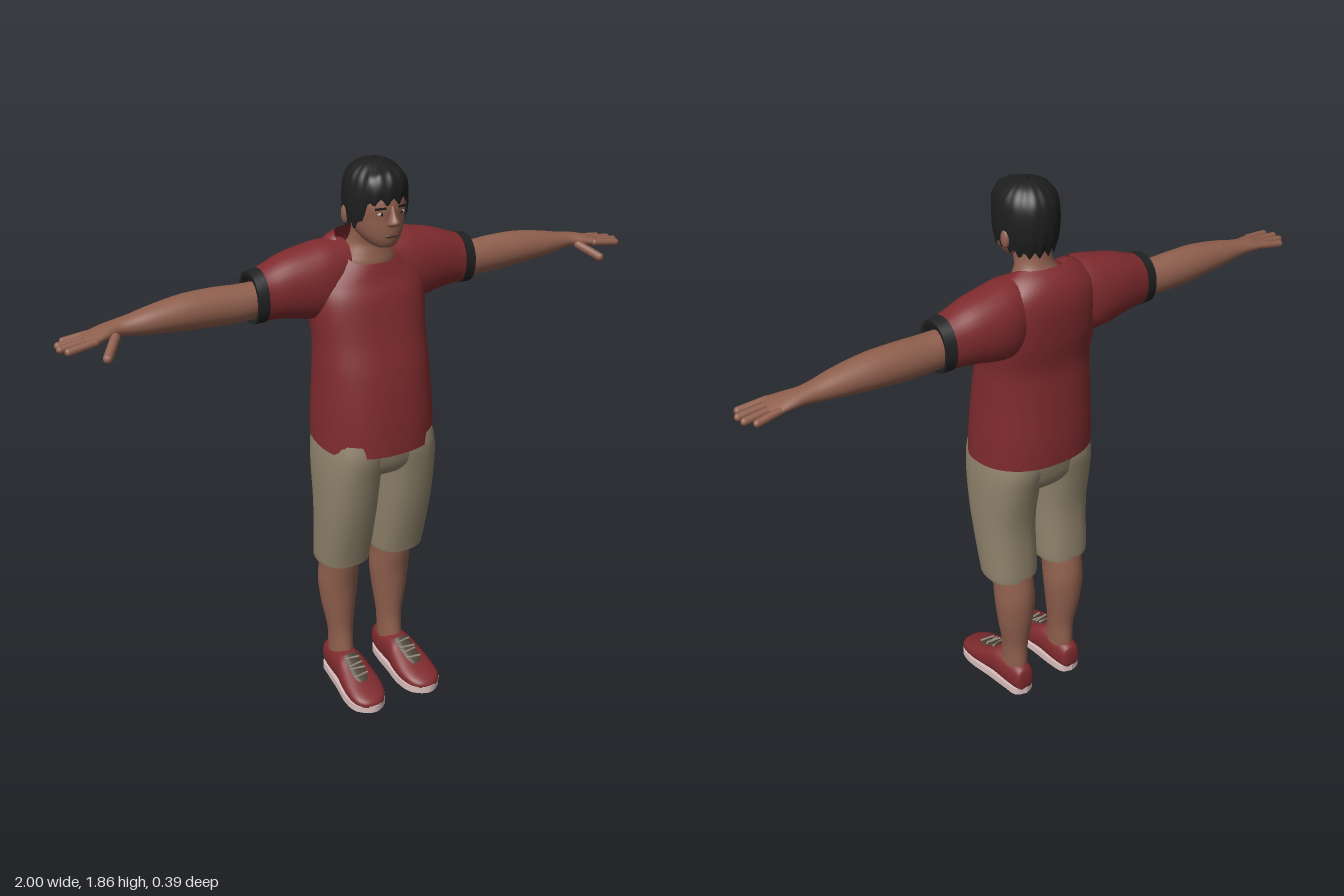
import * as THREE from 'three';
import { toCreasedNormals } from 'three/addons/utils/BufferGeometryUtils.js';

const paint = (name, color, side = THREE.FrontSide) => {
  const m = new THREE.MeshStandardMaterial({ color, side });
  m.name = name;
  return m;
};

// Sharp edges stay sharp; work at a larger scale so small features keep their own normals
function crease(geo, angle = 0.9) {
  geo.scale(100, 100, 100);
  const g = toCreasedNormals(geo, angle);
  g.scale(0.01, 0.01, 0.01);
  return g;
}

// Loft of rounded sections. Row: [position on axis, uMin, uMax, vMin, vMax]
// with (u, v) = (x, z) on axis y, (z, y) on axis x, (y, x) on axis z.
function loft(axis, rows, { steps = 4, segs = 28, n = 2, caps = true, bend } = {}) {
  const place = {
    x: (s, u, v) => [s, v, u], y: (s, u, v) => [u, s, v], z: (s, u, v) => [v, u, s],
  }[axis];
  const cr = (a, b, c, d, t) => b + 0.5 * t * (c - a + t * (2 * a - 5 * b + 4 * c - d + t * (3 * (b - c) + d - a)));
  const sections = [];
  for (let i = 0; i < rows.length - 1; i++) {
    const [a, b, c, d] = [rows[Math.max(i - 1, 0)], rows[i], rows[i + 1], rows[Math.min(i + 2, rows.length - 1)]];
    for (let k = 0; k < steps; k++) sections.push(b.map((_, j) => cr(a[j], b[j], c[j], d[j], k / steps)));
  }
  sections.push(rows[rows.length - 1]);
  const round = (t) => Math.sign(t) * Math.abs(t) ** (2 / n);
  const pos = [], index = [];
  const put = (s, u, v) => {
    const p = place(s, u, v);
    pos.push(...(bend ? bend(...p) : p));
  };
  for (const [s, u0, u1, v0, v1] of sections) {
    for (let j = 0; j < segs; j++) {
      const t = (j / segs) * Math.PI * 2;
      put(s, (u0 + u1) / 2 + round(Math.cos(t)) * (u1 - u0) / 2, (v0 + v1) / 2 + round(Math.sin(t)) * (v1 - v0) / 2);
    }
  }
  const last = (sections.length - 1) * segs;
  for (let i = 0; i < last; i += segs) {
    for (let j = 0; j < segs; j++) {
      const k = (j + 1) % segs;
      index.push(i + j, i + segs + j, i + k, i + k, i + segs + j, i + segs + k);
    }
  }
  if (caps) {
    const base = pos.length / 3;
    for (const [s, u0, u1, v0, v1] of [sections[0], sections[sections.length - 1]]) put(s, (u0 + u1) / 2, (v0 + v1) / 2);
    for (let j = 0; j < segs; j++) {
      const k = (j + 1) % segs;
      index.push(base, j, k, base + 1, last + k, last + j);
    }
  }
  const g = new THREE.BufferGeometry();
  g.setAttribute('position', new THREE.Float32BufferAttribute(pos, 3));
  g.setIndex(index);
  return crease(g);
}

// Mirror across x = 0, reversing the corner order
function mirror(geo) {
  const g = geo.index ? geo.toNonIndexed() : geo.clone();
  g.scale(-1, 1, 1);
  for (const a of Object.values(g.attributes)) {
    for (let i = 0; i < a.count; i += 3) {
      for (let c = 0; c < a.itemSize; c++) {
        const t = a.getComponent(i + 1, c);
        a.setComponent(i + 1, c, a.getComponent(i + 2, c));
        a.setComponent(i + 2, c, t);
      }
    }
  }
  return g;
}

// Rounded rod between two points
function rod(a, b, r) {
  const A = new THREE.Vector3(...a), B = new THREE.Vector3(...b), d = B.clone().sub(A);
  const g = new THREE.CapsuleGeometry(r, d.length() - r, 5, 12);
  g.applyQuaternion(new THREE.Quaternion().setFromUnitVectors(new THREE.Vector3(0, 1, 0), d.normalize()));
  const mid = A.add(B).multiplyScalar(0.5);
  return g.translate(mid.x, mid.y, mid.z);
}

const blob = (x, y, z, rx, ry, rz) => new THREE.SphereGeometry(1, 20, 14).scale(rx, ry, rz).translate(x, y, z);

export function createModel() {
  const model = new THREE.Group();
  model.name = 'standingMan';
  const skin = paint('skin', 0x8f5f4d);
  const red = paint('red cloth', 0x7f2b2e, THREE.DoubleSide);
  const black = paint('black trim', 0x222222);
  const hairMat = paint('hair', 0x1e1e1e, THREE.DoubleSide);
  const khaki = paint('khaki cloth', 0x8f826b);
  const white = paint('shoe sole', 0xd8bebc);
  const olive = paint('shoe tongue', 0x4c4034);
  const lace = paint('laces', 0x8d8578);
  const lip = paint('lips', 0x643d35);
  const eyeWhite = paint('eye white', 0xb8a79c);

  const add = (name, geo, mat) => {
    const m = new THREE.Mesh(geo, mat);
    m.name = name;
    model.add(m);
  };
  const pair = (name, geo, mat) => {
    add(name + 'Left', geo, mat);
    add(name + 'Right', mirror(geo), mat);
  };
  const ease = THREE.MathUtils.smoothstep;

  // Shirt body: collar scooped at the front, hem lifted at the back
  add('shirtBody', loft('y', [
    [0.94, -0.2, 0.2, -0.19, 0.158], [1.05, -0.197, 0.197, -0.19, 0.152], [1.2, -0.19, 0.19, -0.178, 0.13],
    [1.3, -0.187, 0.187, -0.171, 0.103], [1.4, -0.195, 0.195, -0.186, 0.08], [1.5, -0.19, 0.19, -0.192, 0.058],
    [1.56, -0.172, 0.172, -0.182, 0.045], [1.6, -0.13, 0.13, -0.158, 0.036], [1.622, -0.098, 0.098, -0.13, 0.028],
  ], {
    segs: 48, n: 2.3, caps: false,
    bend: (x, y, z) => [x, y - 0.085 * ease(y, 1.4, 1.62) * ease(z, -0.1, 0.03)
      + 0.028 * (1 - ease(y, 0.94, 1.15)) * ease(-z, -0.15, 0.19), z],
  }), red);

  // Sleeves and dark cuffs
  pair('sleeve', loft('x', [
    [0.07, -0.15, 0, 1.4, 1.602], [0.14, -0.175, 0.012, 1.36, 1.604], [0.2, -0.18, 0.01, 1.363, 1.594],
    [0.27, -0.172, 0, 1.378, 1.578], [0.33, -0.16, -0.01, 1.384, 1.556], [0.36, -0.155, -0.012, 1.384, 1.547],
  ], { n: 2.2 }), red);
  pair('cuff', loft('x', [
    [0.352, -0.157, -0.01, 1.381, 1.55], [0.388, -0.153, -0.012, 1.381, 1.543], [0.388, -0.145, -0.022, 1.392, 1.53],
    [0.372, -0.14, -0.03, 1.4, 1.515],
  ], { steps: 1, n: 2.2 }), black);

  // Arms, fingers and thumbs
  pair('arm', loft('x', [
    [0.34, -0.138, -0.03, 1.4, 1.51], [0.42, -0.14, -0.028, 1.394, 1.51], [0.5, -0.142, -0.03, 1.395, 1.514],
    [0.6, -0.14, -0.03, 1.402, 1.512], [0.7, -0.13, -0.036, 1.412, 1.497], [0.77, -0.12, -0.047, 1.42, 1.482],
    [0.81, -0.117, -0.05, 1.426, 1.475], [0.85, -0.118, -0.036, 1.426, 1.468], [0.9, -0.116, -0.02, 1.425, 1.454],
    [0.915, -0.108, -0.028, 1.431, 1.448],
  ]), skin);
  [[-0.105, -0.112, 0.966], [-0.081, -0.084, 0.99], [-0.056, -0.053, 0.994], [-0.031, -0.022, 0.98]].forEach(([z0, z1, tip], i) =>
    pair('finger' + (i + 1), rod([0.885, 1.441, z0], [tip, 1.43, z1], 0.0115), skin));
  pair('thumb', rod([0.825, 1.442, -0.045], [0.88, 1.402, 0.022], 0.0145), skin);

  // Neck and head
  add('neck', loft('y', [
    [1.45, -0.1, 0.1, -0.13, 0.02], [1.53, -0.098, 0.098, -0.135, 0.026], [1.565, -0.085, 0.085, -0.125, 0.02],
    [1.6, -0.064, 0.064, -0.095, 0.015], [1.64, -0.058, 0.058, -0.083, 0.03], [1.69, -0.06, 0.06, -0.08, 0.03],
  ]), skin);
  add('head', loft('y', [
    [1.602, -0.02, 0.02, 0.04, 0.08], [1.61, -0.038, 0.038, 0.01, 0.096], [1.632, -0.06, 0.06, -0.045, 0.106],
    [1.66, -0.075, 0.075, -0.078, 0.109], [1.7, -0.083, 0.083, -0.093, 0.109], [1.74, -0.087, 0.087, -0.098, 0.109],
    [1.8, -0.076, 0.076, -0.086, 0.085], [1.84, -0.035, 0.035, -0.04, 0.035],
  ], { segs: 36 }), skin);
  add('nose', loft('y', [
    [1.673, -0.011, 0.011, 0.09, 0.112], [1.682, -0.018, 0.018, 0.09, 0.132], [1.692, -0.016, 0.016, 0.09, 0.138],
    [1.71, -0.01, 0.01, 0.09, 0.125], [1.738, -0.007, 0.007, 0.09, 0.111],
  ], { segs: 16 }), skin);
  pair('ear', blob(0.09, 1.695, -0.018, 0.011, 0.029, 0.018), skin);

  // Face details
  pair('eye', blob(0.034, 1.714, 0.099, 0.013, 0.0055, 0.005), eyeWhite);
  pair('iris', blob(0.034, 1.714, 0.102, 0.005, 0.005, 0.003), black);
  pair('eyebrow', new THREE.BoxGeometry(0.034, 0.006, 0.008).rotateY(0.33).rotateZ(-0.1).translate(0.036, 1.731, 0.1), hairMat);
  add('mouth', blob(0, 1.646, 0.106, 0.026, 0.0075, 0.007), lip);

  // Hair: jagged edge, high over the brow and low at the nape
  add('hair', loft('y', [
    [1.64, -0.09, 0.09, -0.09, 0.114], [1.69, -0.096, 0.096, -0.104, 0.117], [1.75, -0.096, 0.096, -0.108, 0.112],
    [1.8, -0.088, 0.088, -0.1, 0.096], [1.835, -0.065, 0.065, -0.076, 0.066], [1.853, -0.035, 0.035, -0.044, 0.034],
    [1.858, -0.004, 0.004, -0.01, 0.002],
  ], {
    segs: 72, caps: false,
    bend: (x, y, z) => {
      const jag = 0.011 * Math.cos(18 * Math.atan2(x, z));
      const edge = 1.648 + 0.022 * ease(z, -0.07, 0) + 0.08 * ease(z, 0.04, 0.095) + jag;
      return [x, edge + (y - 1.64) / 0.218 * (1.858 - edge), z];
    },
  }), hairMat);

  // Shorts
  add('shortsSeat', loft('y', [
    [0.85, -0.12, 0.12, -0.13, 0.1], [0.89, -0.18, 0.18, -0.153, 0.128], [0.98, -0.19, 0.19, -0.17, 0.142],
    [1.02, -0.18, 0.18, -0.165, 0.13],
  ], { n: 2.4, segs: 36 }), khaki);
  pair('shortsLeg', loft('y', [
    [0.498, 0.03, 0.178, -0.118, 0.034], [0.502, 0.018, 0.19, -0.13, 0.045], [0.52, 0.013, 0.195, -0.132, 0.05],
    [0.7, 0.009, 0.201, -0.125, 0.097], [0.85, 0.003, 0.201, -0.148, 0.127], [0.93, -0.01, 0.195, -0.163, 0.14],
    [0.98, -0.01, 0.185, -0.16, 0.135],
  ], { n: 2.4 }), khaki);

  // Lower legs
  pair('leg', loft('y', [
    [0.07, 0.06, 0.14, -0.12, 0], [0.13, 0.06, 0.138, -0.122, -0.008], [0.2, 0.056, 0.142, -0.121, -0.016],
    [0.3, 0.043, 0.16, -0.138, -0.01], [0.39, 0.034, 0.17, -0.146, -0.002], [0.46, 0.036, 0.168, -0.142, 0.012],
    [0.56, 0.034, 0.172, -0.12, 0.03],
  ]), skin);

  // Shoes: upper, sole, tongue and laces
  pair('shoeUpper', loft('z', [
    [-0.14, 0.025, 0.08, 0.08, 0.122], [-0.13, 0.012, 0.108, 0.066, 0.136], [-0.08, 0.008, 0.118, 0.056, 0.146],
    [0, 0.008, 0.125, 0.05, 0.155], [0.05, 0.008, 0.103, 0.042, 0.165], [0.11, 0.008, 0.076, 0.04, 0.172],
    [0.16, 0.01, 0.056, 0.052, 0.166], [0.187, 0.012, 0.042, 0.074, 0.145], [0.197, 0.018, 0.03, 0.098, 0.12],
  ], { n: 2.5 }), red);
  const outline = new THREE.Shape();
  outline.moveTo(0.1, -0.142);
  outline.splineThru([[0.138, -0.125], [0.149, -0.07], [0.16, 0.01], [0.175, 0.1], [0.165, 0.165], [0.11, 0.2],
    [0.055, 0.168], [0.038, 0.1], [0.046, 0.01], [0.053, -0.07], [0.066, -0.125], [0.1, -0.142]].map((p) => new THREE.Vector2(...p)));
  const sole = new THREE.ExtrudeGeometry(outline, { depth: 0.026, bevelEnabled: false, curveSegments: 48 });
  pair('shoeSole', crease(sole.rotateX(Math.PI / 2).translate(0, 0.026, 0)), white);
  pair('shoeTongue', loft('z', [
    [0.012, 0.08, 0.127, 0.072, 0.134], [0.05, 0.06, 0.108, 0.072, 0.138], [0.09, 0.05, 0.089, 0.076, 0.138],
    [0.115, 0.05, 0.075, 0.085, 0.13],
  ], { n: 2.6 }), olive);
  for (let i = 0; i < 4; i++) {
    const z = 0.03 + i * 0.02, y = 0.117 - i * 0.0095;
    pair('lace' + (i + 1), rod([0.08, y, z], [0.13, y, z + (i % 2 ? 0.008 : -0.008)], 0.004), lace);
  }
  return model;
}
